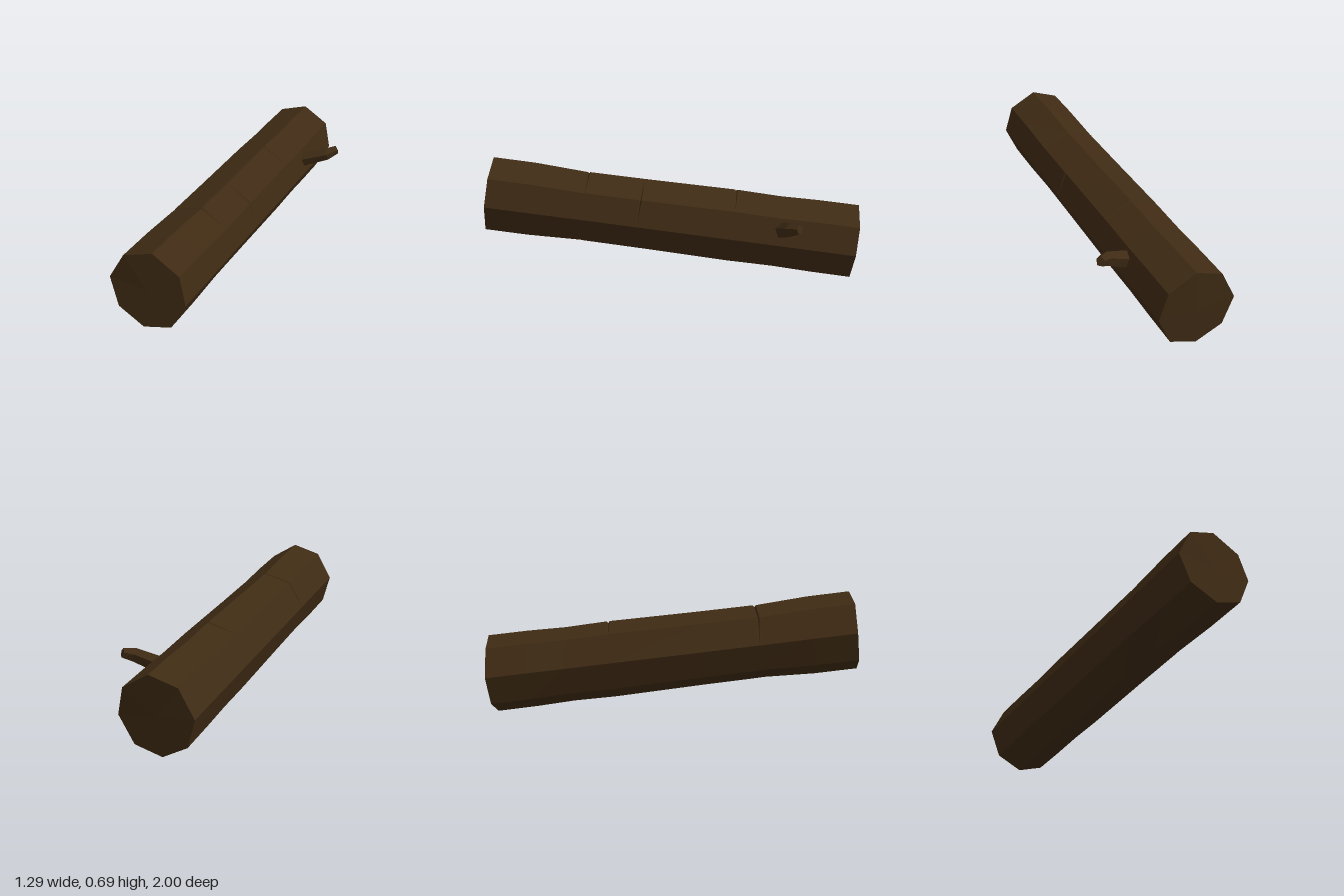
import * as THREE from 'three';

const bark = new THREE.MeshStandardMaterial({ color: 0x3f2b14, flatShading: true });

// Skins a list of rings (arrays of Vector3) and closes both ends
function loft(rings, name) {
  const n = rings[0].length;
  const pos = [], idx = [];
  const add = (p) => pos.push(p.x, p.y, p.z) / 3 - 1;
  rings.forEach((ring) => ring.forEach(add));
  for (let i = 0; i < rings.length - 1; i++) {
    for (let j = 0; j < n; j++) {
      const k = (j + 1) % n;
      const a = i * n + j, b = i * n + k, c = a + n, d = b + n;
      idx.push(a, b, c, b, d, c);
    }
  }
  const last = (rings.length - 1) * n;
  const c0 = add(centre(rings[0]));
  const c1 = add(centre(rings[rings.length - 1]));
  for (let j = 0; j < n; j++) {
    const k = (j + 1) % n;
    idx.push(c0, k, j, c1, last + j, last + k);
  }
  const geo = new THREE.BufferGeometry();
  geo.setAttribute('position', new THREE.Float32BufferAttribute(pos, 3));
  geo.setIndex(idx);
  geo.computeVertexNormals();
  const mesh = new THREE.Mesh(geo, bark);
  mesh.name = name;
  return mesh;
}

function centre(ring) {
  return ring.reduce((s, p) => s.add(p), new THREE.Vector3()).divideScalar(ring.length);
}

// Eight-sided trunk, swept along a sloping axis
function makeTrunk() {
  const end = [
    [-0.65, 0.49, 0.80], [-0.575, 0.64, 0.83], [-0.435, 0.69, 0.89], [-0.31, 0.605, 0.965],
    [-0.285, 0.455, 1.0], [-0.36, 0.305, 0.98], [-0.495, 0.26, 0.915], [-0.615, 0.335, 0.84],
  ].map((p) => new THREE.Vector3(...p));
  const axis = new THREE.Vector3(0.93, -0.255, -1.8);
  const mid = centre(end);
  // position along the trunk, vertical squeeze, corners cut by a crack
  const stations = [
    [0, 1, []], [0.115, 1, []],
    [0.256, 0.935, []], [0.26, 0.93, [1, 2]], [0.264, 0.94, []],
    [0.406, 0.95, []], [0.41, 0.95, [3]], [0.414, 0.95, []],
    [0.661, 0.985, []], [0.665, 0.985, [2]], [0.669, 0.985, []],
    [0.785, 0.965, []], [0.89, 0.995, []], [1, 1, []],
  ];
  const rings = stations.map(([t, squeeze, cut]) => end.map((p, j) => {
    const q = p.clone().sub(mid);
    q.y *= squeeze;
    if (cut.includes(j)) q.multiplyScalar(0.95);
    return q.add(mid).addScaledVector(axis, t);
  }));
  return loft(rings, 'trunk');
}

// Short broken twig with a kink
function makeTwig() {
  const path = [[0.37, 0.305, -0.47], [0.44, 0.335, -0.455], [0.57, 0.382, -0.424], [0.632, 0.4, -0.442]]
    .map((p) => new THREE.Vector3(...p));
  const radii = [0.047, 0.046, 0.038, 0.027];
  const sides = 5;
  const rings = path.map((p, i) => {
    const dir = path[Math.min(i + 1, 3)].clone().sub(path[Math.max(i - 1, 0)]).normalize();
    const u = new THREE.Vector3(0, 1, 0).cross(dir).normalize();
    const v = dir.clone().cross(u);
    return Array.from({ length: sides }, (_, j) => {
      const a = (j / sides) * Math.PI * 2 + Math.PI / 2;
      return p.clone()
        .addScaledVector(u, Math.cos(a) * radii[i] * 0.9)
        .addScaledVector(v, Math.sin(a) * radii[i]);
    });
  });
  return loft(rings, 'twig');
}

export function createModel() {
  const group = new THREE.Group();
  group.name = 'log';
  group.add(makeTrunk(), makeTwig());
  return group;
}
